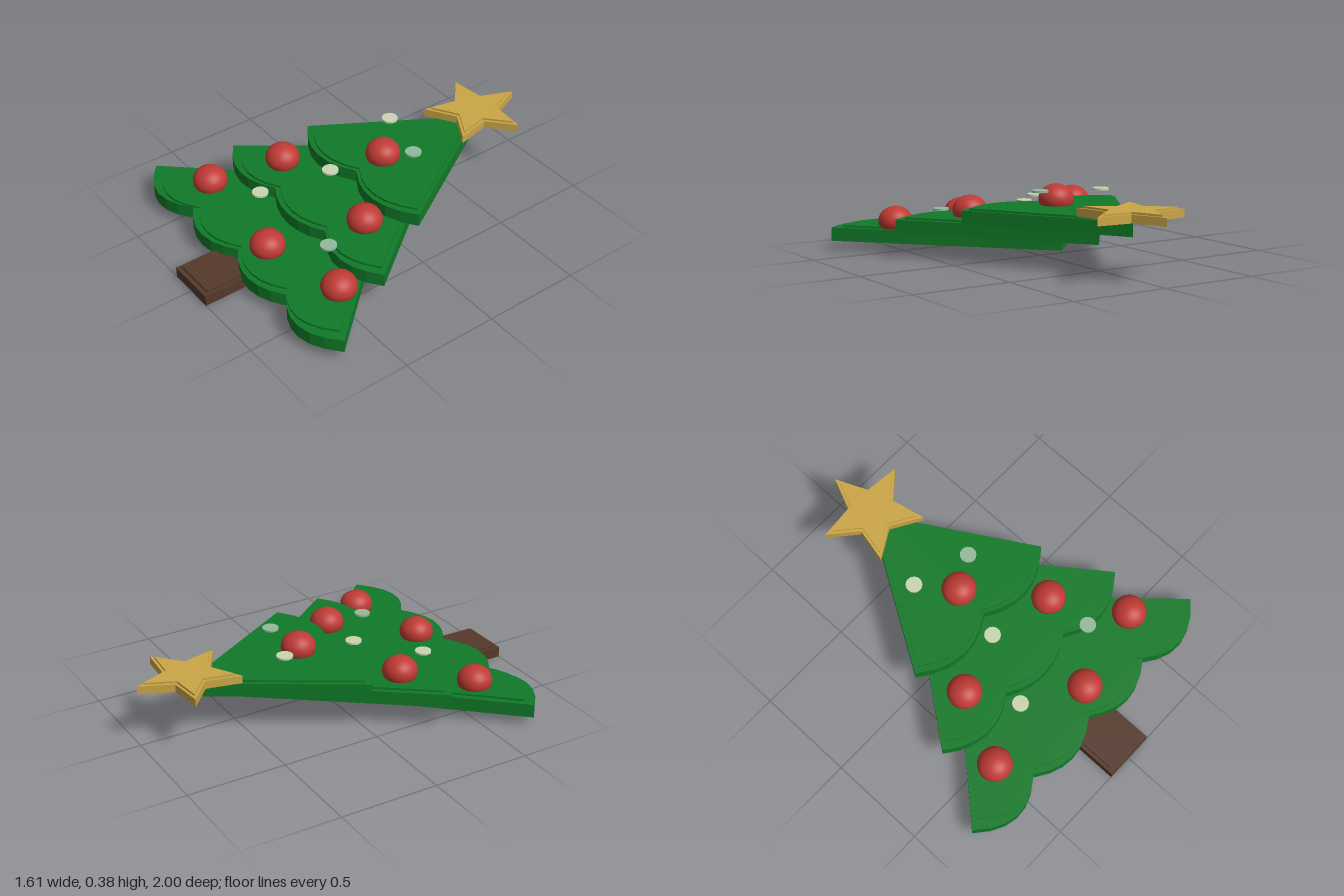
import * as THREE from 'three';

const mat = (name, color, side = THREE.FrontSide) => {
  const m = new THREE.MeshStandardMaterial({ color, side });
  m.name = name;
  return m;
};

// Flat slab from an outline of [x, z] points, with a slightly raised, inset top face
function slab(name, outline, material, y0, y1, rise, inset, cz) {
  const group = new THREE.Group();
  group.name = name;
  const add = (partName, scale, bottom, top) => {
    const pts = outline.map(([x, z]) => new THREE.Vector2(x * scale, -(cz + (z - cz) * scale)));
    const geo = new THREE.ExtrudeGeometry(new THREE.Shape(pts), { depth: top - bottom, bevelEnabled: false });
    geo.rotateX(-Math.PI / 2);
    const mesh = new THREE.Mesh(geo, material);
    mesh.name = partName;
    mesh.position.y = bottom;
    group.add(mesh);
  };
  add(name + 'Body', 1, y0, y1);
  add(name + 'RaisedFace', inset, y1 - 0.005, y1 + rise);
  return group;
}

// Triangular tier: pointed at the back, scalloped along the front
function tierOutline({ half, apex, corner, cusp, peak, count }) {
  const pts = [[0, apex]];
  const width = (2 * half) / count;
  const steps = 6;
  for (let i = 0; i < count; i++) {
    const za = i === 0 ? corner : cusp;
    const zb = i === count - 1 ? corner : cusp;
    const control = 2 * peak - (za + zb) / 2;
    for (let s = i === 0 ? 0 : 1; s <= steps; s++) {
      const t = s / steps;
      const z = (1 - t) ** 2 * za + 2 * t * (1 - t) * control + t * t * zb;
      pts.push([-half + width * (i + t), z]);
    }
  }
  return pts;
}

function starOutline(cz, outer, inner) {
  return Array.from({ length: 10 }, (_, i) => {
    const a = (i * Math.PI) / 5;
    const r = i % 2 ? inner : outer;
    return [-Math.sin(a) * r, cz - Math.cos(a) * r];
  });
}

export function createModel() {
  const model = new THREE.Group();
  model.name = 'flatTree';
  const green = mat('leafGreen', 0x107a28);
  const brown = mat('barkBrown', 0x54392a);
  const gold = mat('starGold', 0xcba647);
  const red = mat('baubleRed', 0xbf3a34);
  const cream = mat('lightCream', 0xcad6b2);
  const mint = mat('lightMint', 0x92ba9a);

  // Trunk
  const trunk = [[-0.13, 0.68], [-0.13, 1], [0.13, 1], [0.13, 0.68]];
  model.add(slab('trunk', trunk, brown, 0, 0.055, 0.01, 0.86, 0.84));

  // Three overlapping tiers
  const tiers = [
    { name: 'lowerTier', y: 0.05, half: 0.805, apex: -0.19, corner: 0.7, cusp: 0.73, peak: 0.808, count: 4 },
    { name: 'middleTier', y: 0.122, half: 0.63, apex: -0.495, corner: 0.34, cusp: 0.37, peak: 0.437, count: 3 },
    { name: 'upperTier', y: 0.195, half: 0.455, apex: -0.755, corner: -0.005, cusp: 0.025, peak: 0.097, count: 2 },
  ];
  for (const t of tiers) {
    const cz = t.apex + (t.peak - t.apex) * 0.62;
    model.add(slab(t.name, tierOutline(t), green, t.y, t.y + 0.068, 0.01, 0.93, cz));
  }

  // Star at the tip
  model.add(slab('star', starOutline(-0.74, 0.26, 0.12), gold, 0.275, 0.315, 0.01, 0.87, -0.74));

  // Slightly flattened baubles: x, y, z
  const baubleGeo = new THREE.SphereGeometry(0.087, 28, 18);
  baubleGeo.scale(1, 0.85, 1);
  [
    [-0.5, 0.154, 0.565], [0.09, 0.154, 0.62], [0.53, 0.154, 0.525],
    [-0.35, 0.23, 0.225], [0.29, 0.23, 0.195], [0, 0.302, -0.14],
  ].forEach((p, i) => {
    const bauble = new THREE.Mesh(baubleGeo, red);
    bauble.name = `bauble${i + 1}`;
    bauble.position.set(...p);
    model.add(bauble);
  });

  // Small disc lights hovering over the tiers: x, y, z, material
  const lightGeo = new THREE.CylinderGeometry(0.041, 0.041, 0.01, 16);
  [
    [-0.205, 0.207, 0.46, cream], [0.32, 0.207, 0.43, mint], [-0.06, 0.285, 0.14, cream],
    [-0.15, 0.357, -0.3, cream], [0.145, 0.357, -0.215, mint],
  ].forEach(([x, y, z, material], i) => {
    const light = new THREE.Mesh(lightGeo, material);
    light.name = `light${i + 1}`;
    light.position.set(x, y, z);
    model.add(light);
  });

  return model;
}
